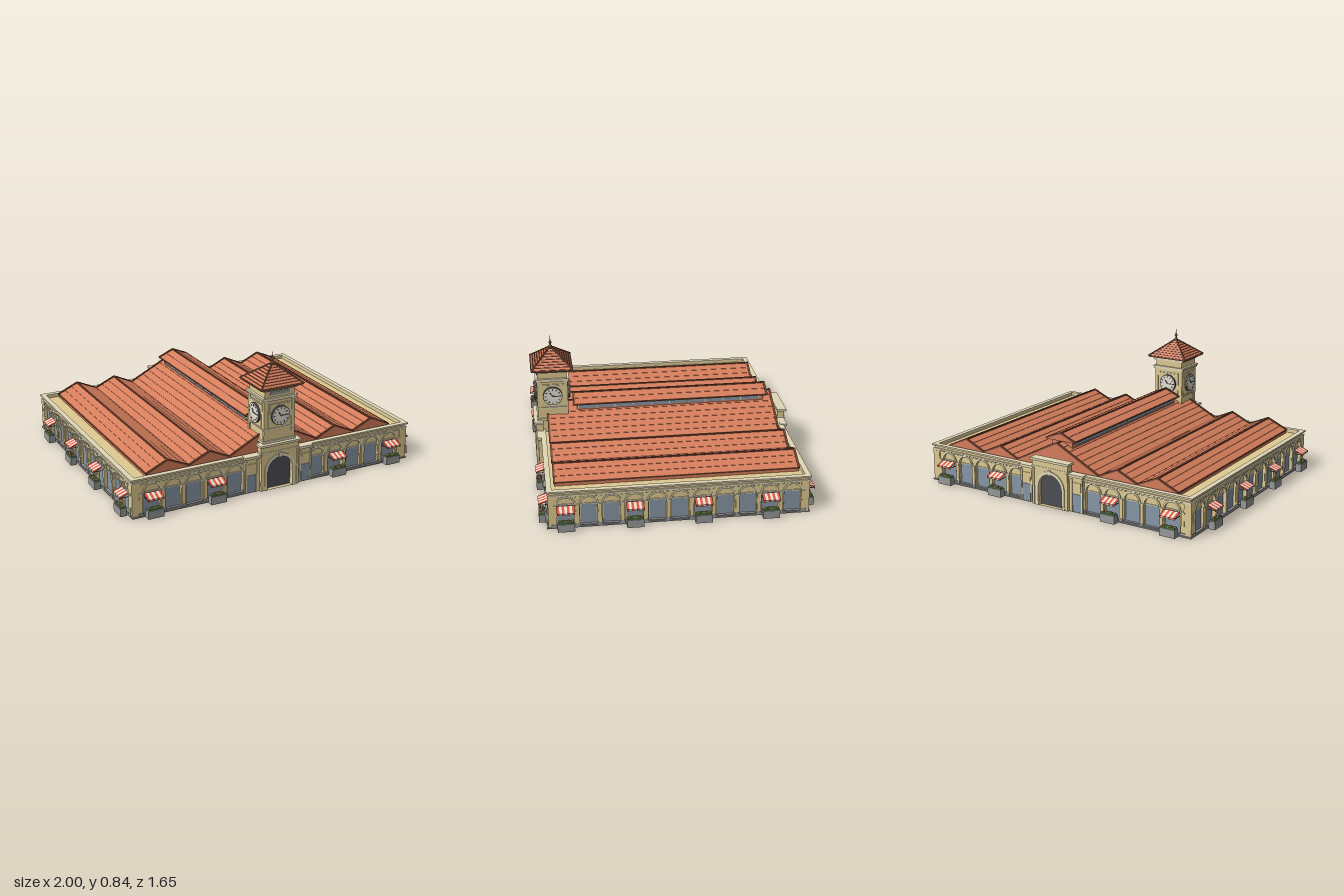
import * as THREE from 'three';

const mat = (name, color) => {
  const m = new THREE.MeshStandardMaterial({ color });
  m.name = name;
  return m;
};
const M = {
  wall: mat('sandWall', 0xe0cb92), trim: mat('paleTrim', 0xe2d8b6), tile: mat('terracotta', 0xd67e5c),
  brown: mat('darkTile', 0x7e4a36), glass: mat('blueGlass', 0x8797a7), dark: mat('charcoal', 0x4e4e56),
  red: mat('awningRed', 0xdd5845), white: mat('offWhite', 0xf2ecdc), green: mat('leafGreen', 0x557f3f),
  stone: mat('greyStone', 0x979899),
};

function add(parent, name, geo, material, x = 0, y = 0, z = 0) {
  const m = new THREE.Mesh(geo, material);
  m.name = name;
  m.position.set(x, y, z);
  parent.add(m);
  return m;
}
const box = (p, name, m, w, h, d, x, y, z) => add(p, name, new THREE.BoxGeometry(w, h, d), m, x, y, z);
const extrude = (shape, depth) => new THREE.ExtrudeGeometry(shape, { depth, bevelEnabled: false, curveSegments: 10 });
const group = (parent, name) => {
  const g = new THREE.Group();
  g.name = name;
  parent.add(g);
  return g;
};
const rect = (x0, y0, x1, y1) => new THREE.Shape([[x0, y0], [x1, y0], [x1, y1], [x0, y1]].map(p => new THREE.Vector2(...p)));

// Round-headed opening, from y0 up to a half circle of radius r at the spring line
function archPath(cx, r, y0, spring) {
  const p = new THREE.Path();
  p.moveTo(cx - r, y0);
  p.lineTo(cx + r, y0);
  p.lineTo(cx + r, spring);
  p.absarc(cx, spring, r, 0, Math.PI, false);
  p.closePath();
  return p;
}
function archRing(ri, ro, depth) {
  const s = new THREE.Shape();
  s.absarc(0, 0, ro, 0, Math.PI, false);
  s.absarc(0, 0, ri, Math.PI, 0, true);
  s.closePath();
  return extrude(s, depth);
}

// Market stall: planter, flowers and a striped awning
function stall(parent, x, z) {
  const g = group(parent, 'stall');
  g.position.set(x, 0, z);
  box(g, 'planter', M.stone, 0.1, 0.05, 0.04, 0, 0.025, 0.038);
  box(g, 'leaves', M.green, 0.09, 0.012, 0.03, 0, 0.054, 0.038);
  const bloom = new THREE.IcosahedronGeometry(0.006, 0);
  for (let i = 0; i < 7; i++) add(g, 'bloom', bloom, i % 3 ? M.red : M.white, -0.039 + i * 0.013, 0.062, 0.038 + (i % 2 ? 0.009 : -0.006));
  for (let i = 0; i < 7; i++) {
    const m = i % 2 ? M.white : M.red, sx = (i - 3) * 0.0148;
    box(g, 'awningStripe', m, 0.0148, 0.004, 0.06, sx, 0.131, 0.031).rotation.x = 0.35;
    box(g, 'valance', m, 0.0148, 0.01, 0.003, sx, 0.116, 0.0575);
  }
  for (const s of [-1, 1]) box(g, 'awningArm', M.dark, 0.003, 0.003, 0.055, s * 0.048, 0.117, 0.028);
}

// Arcaded wall, facing local +z
function facade(parent, name, length, dist, rotY, bays, stalls) {
  const g = group(parent, name);
  g.rotation.y = rotY;
  const s = rect(-length / 2, 0.006, length / 2, 0.205);
  const ring = archRing(0.05, 0.06, 0.006);
  for (const x of bays) s.holes.push(archPath(x, 0.051, 0.012, 0.142));
  add(g, 'arcade', extrude(s, 0.018), M.wall, 0, 0, dist - 0.018);
  for (const x of bays) {
    add(g, 'archRim', ring, M.trim, x, 0.142, dist);
    box(g, 'window', M.glass, 0.094, 0.125, 0.006, x, 0.0765, dist - 0.016);
    box(g, 'windowHead', M.trim, 0.1, 0.006, 0.008, x, 0.142, dist - 0.014);
  }
  // Pilasters on both sides of every bay
  const edges = [...new Set(bays.flatMap(x => [x - 0.067, x + 0.067]).map(v => v.toFixed(2)))].map(Number);
  for (const x of edges) {
    box(g, 'pilaster', M.wall, 0.022, 0.13, 0.008, x, 0.075, dist + 0.003);
    box(g, 'pilasterFoot', M.stone, 0.03, 0.02, 0.012, x, 0.014, dist + 0.004);
    box(g, 'capital', M.trim, 0.03, 0.008, 0.012, x, 0.143, dist + 0.004);
  }
  const n = Math.round(length / 0.03);
  for (let i = 0; i < n; i++) box(g, 'dentil', M.trim, 0.012, 0.008, 0.008, (i + 0.5) * length / n - length / 2, 0.2, dist + 0.003);
  for (const x of stalls) stall(g, x, dist);
}

// Gate block with a tall arch and lower wings, facing local +z
function portal(parent, name, rotY) {
  const g = group(parent, name);
  g.rotation.y = rotY;
  const s = rect(-0.13, 0.006, 0.13, 0.29);
  s.holes.push(archPath(0, 0.086, 0.007, 0.128));
  add(g, 'gateBlock', extrude(s, 0.045), M.wall, 0, 0, 0.76);
  const door = new THREE.Shape(archPath(0, 0.087, 0.007, 0.128).getPoints(10));
  add(g, 'gateOpening', extrude(door, 0.01), M.dark, 0, 0, 0.77);
  add(g, 'gateArchRim', archRing(0.084, 0.105, 0.008), M.trim, 0, 0.128, 0.803);
  box(g, 'keystone', M.trim, 0.02, 0.03, 0.014, 0, 0.224, 0.806);
  box(g, 'gateCornice', M.trim, 0.28, 0.014, 0.06, 0, 0.296, 0.787);
  box(g, 'gateBand', M.trim, 0.265, 0.006, 0.05, 0, 0.25, 0.783);
  for (const d of [-1, 1]) {
    box(g, 'gateJamb', M.trim, 0.018, 0.122, 0.008, d * 0.096, 0.067, 0.806);
    box(g, 'gateEdge', M.wall, 0.015, 0.23, 0.008, d * 0.122, 0.125, 0.806);
    box(g, 'wing', M.wall, 0.095, 0.22, 0.03, d * 0.175, 0.116, 0.775);
    box(g, 'wingCap', M.trim, 0.105, 0.016, 0.045, d * 0.18, 0.234, 0.78);
    box(g, 'wingDoor', M.glass, 0.06, 0.11, 0.006, d * 0.186, 0.065, 0.791);
    box(g, 'wingPanel', M.wall, 0.055, 0.055, 0.006, d * 0.186, 0.165, 0.791);
    for (const e of [0.148, 0.222]) box(g, 'wingPilaster', M.trim, 0.01, 0.205, 0.008, d * e, 0.11, 0.792);
  }
}

// Shallow tile courses along a half profile running outwards from x = 0, then mirrored
function tiledRoof(parent, name, keys, floor, z0, z1) {
  const g = group(parent, name), half = [];
  for (let k = 0; k < keys.length - 1; k++) {
    const [ax, ay] = keys[k], [bx, by] = keys[k + 1], len = Math.hypot(bx - ax, by - ay);
    const n = Math.round(len / 0.045), down = by < ay, t = 0.002;
    for (let i = 0; i < n; i++) for (const e of [0, 1]) {
      const f = (i + e) / n;
      half.push([ax + (bx - ax) * f, ay + (by - ay) * f + ((e === 1) === down ? t : 0)]);
    }
    // Brown gable boards at both ends
    for (const sx of [-1, 1]) for (const z of [z0, z1]) {
      const b = box(g, 'gableBoard', M.brown, len, 0.01, 0.012, sx * (ax + bx) / 2, (ay + by) / 2 + 0.002, z);
      b.rotation.z = sx * Math.atan2(by - ay, bx - ax);
    }
  }
  const last = keys[keys.length - 1][0];
  const pts = [[-last, floor], ...half.slice().reverse().map(([x, y]) => [-x, y]), ...half.slice(1), [last, floor]];
  const shape = new THREE.Shape(pts.map(p => new THREE.Vector2(...p)));
  add(g, 'tiles', extrude(shape, z1 - z0), M.tile, 0, 0, z0);
  // Ridge caps and valley gutters
  for (const [x, y] of keys) for (const sx of x ? [-1, 1] : [1])
    box(g, 'ridgeOrGutter', M.brown, 0.01, 0.007, z1 - z0 + 0.01, sx * x, y + 0.001, (z0 + z1) / 2);
}

function clock(parent, dist, rotY) {
  const g = group(parent, 'clock');
  g.rotation.y = rotY;
  box(g, 'clockPanel', M.trim, 0.15, 0.15, 0.008, 0, 0.473, dist + 0.002);
  box(g, 'clockField', M.wall, 0.138, 0.138, 0.008, 0, 0.473, dist + 0.004);
  const face = group(g, 'clockFace');
  face.position.set(0, 0.473, dist + 0.008);
  add(face, 'rim', new THREE.CylinderGeometry(0.061, 0.061, 0.012, 32).rotateX(Math.PI / 2), M.dark, 0, 0, 0.006);
  add(face, 'dial', new THREE.CylinderGeometry(0.057, 0.057, 0.004, 32).rotateX(Math.PI / 2), M.white, 0, 0, 0.012);
  for (let i = 0; i < 12; i++) {
    const a = i * Math.PI / 6;
    box(face, 'hourMark', M.dark, 0.006, 0.012, 0.002, Math.sin(a) * 0.046, Math.cos(a) * 0.046, 0.0145).rotation.z = -a;
  }
  for (const [a, l, w] of [[Math.PI / 2, 0.04, 0.005], [-0.6, 0.028, 0.007]])
    box(face, 'hand', M.dark, w, l, 0.003, Math.sin(a) * l / 2, Math.cos(a) * l / 2, 0.0155).rotation.z = -a;
}

function tower(parent) {
  const g = group(parent, 'clockTower');
  g.position.z = 0.692;
  box(g, 'shaft', M.wall, 0.2, 0.42, 0.186, 0, 0.43, 0);
  for (const x of [-1, 1]) for (const z of [-1, 1]) box(g, 'cornerPilaster', M.wall, 0.022, 0.27, 0.022, x * 0.094, 0.44, z * 0.086);
  for (const [y, h, w, d] of [[0.31, 0.016, 0.222, 0.204], [0.39, 0.008, 0.214, 0.196], [0.572, 0.01, 0.222, 0.204],
    [0.583, 0.012, 0.234, 0.214], [0.632, 0.008, 0.218, 0.2], [0.642, 0.014, 0.236, 0.214]]) box(g, 'towerBand', M.trim, w, h, d, 0, y, 0);
  for (let i = 0; i < 4; i++) clock(g, i % 2 ? 0.1 : 0.093, i * Math.PI / 2);
  box(g, 'frontPlate', M.stone, 0.13, 0.02, 0.006, 0, 0.612, 0.094);

  // Stepped pyramid roof: tile courses, each with a dark lower lip
  box(g, 'eaves', M.brown, 0.288, 0.008, 0.258, 0, 0.653, 0);
  const n = 9;
  const course = (name, top, bottom, h, m, y) => {
    const c = new THREE.CylinderGeometry(top * Math.SQRT2, bottom * Math.SQRT2, h, 4, 1).rotateY(Math.PI / 4).scale(0.145, 1, 0.13);
    c.deleteAttribute('normal');
    const flat = c.toNonIndexed();
    flat.computeVertexNormals();
    add(g, name, flat, m, 0, y, 0);
  };
  for (let i = 0; i < n; i++) {
    const r0 = 1 - i / n, r1 = 1 - (i + 1) / n, y = 0.657 + i * 0.0122;
    course('roofCourse', r1 + 0.005, r0, 0.0122, M.tile, y + 0.0061);
    course('courseLip', r0 + 0.005, r0 + 0.018, 0.0035, M.brown, y + 0.00175);
  }
  for (const x of [-1, 1]) for (const z of [-1, 1]) {
    const a = new THREE.Vector3(x * 0.145, 0.657, z * 0.13), b = new THREE.Vector3(0, 0.768, 0);
    add(g, 'hipCap', new THREE.TubeGeometry(new THREE.LineCurve3(a, b), 1, 0.005, 6), M.brown);
  }
  const prof = [[0.012, 0.755], [0.012, 0.77], [0.005, 0.776], [0.005, 0.784], [0.011, 0.792], [0.005, 0.801], [0.003, 0.81], [0, 0.84]];
  add(g, 'finial', new THREE.LatheGeometry(prof.map(p => new THREE.Vector2(...p)), 10), M.brown);
}

export function createModel() {
  const root = new THREE.Group();
  root.name = 'marketHall';
  box(root, 'basePlate', M.stone, 1.9, 0.008, 1.56, 0, 0.004, 0);
  box(root, 'core', M.wall, 1.85, 0.21, 1.5, 0, 0.111, 0);
  box(root, 'plinth', M.stone, 1.886, 0.01, 1.536, 0, 0.009, 0);

  // Arcades: ten bays front and back, eleven on each side
  const bays = [0.283, 0.417, 0.551, 0.685, 0.819].flatMap(x => [-x, x]);
  const sideBays = Array.from({ length: 11 }, (_, i) => (i - 5) * 0.134);
  const stalls = [-0.819, -0.417, 0.417, 0.819], zs = [0.67, 0.268, -0.134, -0.536];
  facade(root, 'frontArcade', 1.88, 0.765, 0, bays, stalls);
  facade(root, 'backArcade', 1.88, 0.765, Math.PI, bays, stalls);
  facade(root, 'leftArcade', 1.495, 0.94, Math.PI / 2, sideBays, zs.map(z => -z));
  facade(root, 'rightArcade', 1.495, 0.94, -Math.PI / 2, sideBays, zs);
  for (const x of [-1, 1]) for (const z of [-1, 1]) box(root, 'cornerPier', M.wall, 0.05, 0.2, 0.05, x * 0.921, 0.106, z * 0.746);

  // Cornice and parapet rings
  for (const [y, h, w, d, m] of [[0.204, 0.01, 0.946, 0.772, M.trim], [0.214, 0.016, 0.938, 0.764, M.wall], [0.23, 0.01, 0.952, 0.778, M.trim]]) {
    const s = rect(-w, -d, w, d);
    s.holes.push(rect(-0.92, -0.745, 0.92, 0.745));
    add(root, 'parapet', extrude(s, h).rotateX(-Math.PI / 2), m, 0, y, 0);
  }

  // Parallel gabled roofs, then the raised skylight along the middle
  tiledRoof(root, 'hallRoof', [[0, 0.39], [0.3, 0.237], [0.43, 0.298], [0.565, 0.237], [0.7, 0.298], [0.835, 0.237]], 0.21, -0.73, 0.725);
  box(root, 'skylightWall', M.tile, 0.15, 0.06, 1.21, 0, 0.368, -0.067);
  for (const x of [-1, 1]) {
    box(root, 'skylightGlass', M.glass, 0.008, 0.03, 1.17, x * 0.077, 0.378, -0.055);
    for (let i = 0; i <= 10; i++) box(root, 'skylightBar', M.trim, 0.01, 0.03, 0.006, x * 0.078, 0.378, -0.64 + i * 0.117);
  }
  tiledRoof(root, 'skylightRoof', [[0, 0.442], [0.102, 0.399]], 0.393, -0.69, 0.557);

  portal(root, 'frontGate', 0);
  portal(root, 'backGate', Math.PI);
  tower(root);
  return root;
}
